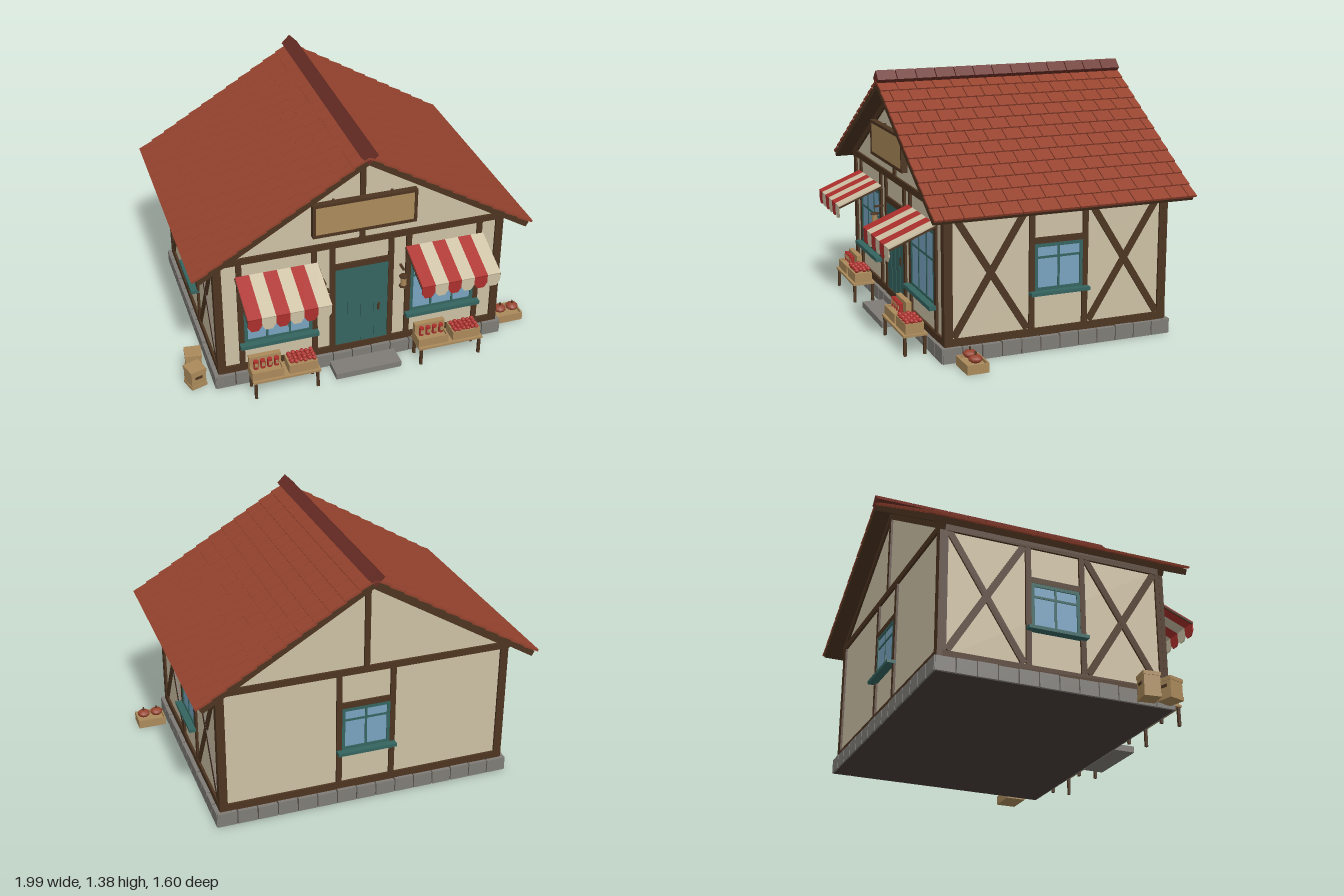
import * as THREE from 'three';
import { mergeGeometries } from 'three/addons/utils/BufferGeometryUtils.js';

const mat = (name, color) => Object.assign(new THREE.MeshStandardMaterial({ color }), { name });
const M = {
  plaster: mat('plaster', 0xcdc1a5), timber: mat('dark timber', 0x4d3521), tile: mat('roof tile', 0x95432e),
  ridge: mat('ridge tile', 0x692d25), teal: mat('teal paint', 0x356460), mortar: mat('dark mortar', 0x483f38),
  glass: mat('window glass', 0x78a3c0), stone: mat('stone', 0x7f7c77), wood: mat('light wood', 0xab8a5b),
  red: mat('awning red', 0xad302c),
};

function add(parent, name, geo, material, x = 0, y = 0, z = 0) {
  const m = new THREE.Mesh(geo, material);
  m.name = name;
  m.position.set(x, y, z);
  parent.add(m);
  return m;
}
const box = (p, name, material, w, h, d, x, y, z) => add(p, name, new THREE.BoxGeometry(w, h, d), material, x, y, z);
const shape = (pts) => new THREE.Shape(pts.map(([a, b]) => new THREE.Vector2(a, b)));
function group(parent, name, x = 0, y = 0, z = 0, ry = 0) {
  const g = new THREE.Group();
  g.name = name;
  g.position.set(x, y, z);
  g.rotation.y = ry;
  parent.add(g);
  return g;
}
// Timber lying on a wall between two points of the wall plane
function beam(p, name, x0, y0, x1, y1, w, d = 0.024) {
  const m = box(p, name, M.timber, Math.hypot(x1 - x0, y1 - y0), w, d, (x0 + x1) / 2, (y0 + y1) / 2, 0);
  m.rotation.z = Math.atan2(y1 - y0, x1 - x0);
  return m;
}

const ZC = -0.075, SLOPE = 0.6, ANGLE = Math.atan(SLOPE), APEX = 1.32;

function buildWindow(p, x, y0, w, h, panes, barY, sillH) {
  const g = group(p, 'window', x, y0, 0);
  box(g, 'glass', M.glass, w, h, 0.008, 0, h / 2, 0.001);
  for (const s of [-1, 1]) box(g, 'windowJamb', M.teal, 0.02, h, 0.022, s * (w / 2 - 0.01), h / 2, 0);
  for (const y of [0.01, h - 0.01]) box(g, 'windowRail', M.teal, w, 0.02, 0.022, 0, y, 0);
  for (let i = 1; i < panes; i++) box(g, 'mullion', M.teal, 0.012, h, 0.018, -w / 2 + (w * i) / panes, h / 2, 0);
  box(g, 'crossBar', M.teal, w, 0.012, 0.018, 0, barY - y0, 0);
  box(g, 'windowSill', M.teal, w + 0.055, sillH, 0.06, 0, -0.004, 0.018);
}

// Centred window with posts and rail, used on the back and sides
function windowBay(p) {
  for (const s of [-1, 1]) beam(p, 'post', s * 0.15, 0.1, s * 0.15, 0.78, 0.03);
  beam(p, 'windowHead', -0.15, 0.585, 0.15, 0.585, 0.032);
  buildWindow(p, 0, 0.315, 0.275, 0.255, 2, 0.495, 0.018);
}

function frame(p, half) {
  for (const s of [-1, 1]) beam(p, 'cornerPost', s * (half - 0.022), 0.08, s * (half - 0.022), 0.79, 0.044);
  beam(p, 'sillBeam', -half, 0.099, half, 0.099, 0.04, 0.026);
  beam(p, 'topPlate', -half, 0.782, half, 0.782, 0.036, 0.026);
}

function gable(p) {
  beam(p, 'kingPost', 0, 0.8, 0, 1.27, 0.03);
  for (const s of [-1, 1]) beam(p, 'rafter', 0, APEX - 0.052, s * 0.82, APEX - 0.052 - SLOPE * 0.82, 0.032, 0.028);
}

function buildRoof(house) {
  const len = 1.445, rows = 12, cols = 14, step = 1.081 / rows, tw = len / cols;
  for (const s of [1, -1]) {
    const side = group(house, 'roofSlope', 0, APEX, -0.0775, s > 0 ? 0 : Math.PI);
    const slope = group(side, 'slope');
    slope.rotation.z = -ANGLE;
    box(slope, 'roofBoard', M.timber, 1.067, 0.03, len - 0.01, 0.5335, -0.015, 0);
    const tiles = [];
    for (let r = 0; r < rows; r++) {
      for (let c = 0; c <= cols; c++) {
        const off = r % 2 ? 0.5 : 0;
        const a = Math.max(0, c - off) * tw, b = Math.min(cols, c + 1 - off) * tw;
        if (b - a < 0.01) continue;
        const t = new THREE.BoxGeometry(step + 0.006, 0.012, b - a - 0.005);
        t.rotateZ(0.085);
        t.translate((r + 0.5) * step, 0.008, (a + b) / 2 - len / 2);
        tiles.push(t);
      }
    }
    add(slope, 'roofTiles', mergeGeometries(tiles), M.tile);
  }
  // Diamond ridge caps
  for (let i = 0; i < 13; i++) {
    const cap = box(house, 'ridgeCap', M.ridge, 0.066, 0.066, len / 13 - 0.005, 0, 1.337, -0.0775 - len / 2 + (i + 0.5) * len / 13);
    cap.rotation.z = Math.PI / 4;
  }
}

function buildFoundation(house) {
  box(house, 'foundationCore', M.mortar, 1.646, 0.076, 1.276, 0, 0.038, ZC);
  const run = (n, length, place) => {
    for (let i = 0; i < n; i++) place(-length / 2 + (i + 0.5) * length / n, length / n - 0.006, 0.075 + 0.004 * ((i * 7) % 3) / 2);
  };
  for (const s of [-1, 1]) {
    run(15, 1.66, (u, w, h) => box(house, 'foundationStone', M.stone, w, h, 0.04, u, 0.002 + h / 2, ZC + s * 0.627));
    run(12, 1.29, (u, w, h) => box(house, 'foundationStone', M.stone, 0.04, h, w, s * 0.812, 0.002 + h / 2, ZC + u));
  }
  box(house, 'doorStep', M.stone, 0.376, 0.035, 0.12, 0, 0.0175, 0.632);
}

function buildAwning(p, x) {
  const g = group(p, 'awning', x, 0, 0);
  const w = 0.0742, L = 0.27;
  const scallop = shape([[-w / 2, 0], [-w / 2, -0.045], [-w / 4, -0.073], [w / 4, -0.073], [w / 2, -0.045], [w / 2, 0]]);
  const geo = new THREE.ExtrudeGeometry(scallop, { depth: 0.007, bevelEnabled: false });
  for (let i = 0; i < 6; i++) {
    const m = i % 2 ? M.plaster : M.red, u = (i - 2.5) * w;
    box(g, 'awningStripe', m, w, 0.01, L, u, 0.64, 0.675).rotation.x = 0.38;
    add(g, 'awningValance', geo, m, u, 0.592, 0.793);
  }
  for (const s of [-1, 1]) box(g, 'awningArm', M.timber, 0.008, 0.01, L, s * 0.222, 0.633, 0.672).rotation.x = 0.38;
}

function openCrate(p, x, y, z, w, h, d) {
  const g = group(p, 'crate', x, y, z);
  box(g, 'crateFloor', M.wood, w, h * 0.7, d, 0, h * 0.35, 0);
  for (const s of [-1, 1]) {
    box(g, 'crateSide', M.wood, w, h, 0.008, 0, h / 2, s * (d / 2 - 0.004));
    box(g, 'crateEnd', M.wood, 0.008, h, d, s * (w / 2 - 0.004), h / 2, 0);
  }
  return g;
}

function buildStall(p, x, lift) {
  const g = group(p, 'marketTable', x, 0, 0.653);
  box(g, 'tableTop', M.wood, 0.375, 0.012, 0.13, 0, 0.109, 0);
  for (const a of [-1, 1]) for (const b of [-1, 1]) box(g, 'tableLeg', M.timber, 0.015, 0.104, 0.015, a * 0.172, 0.052, b * 0.053);
  // Labelled jars on a crate with a tall back
  const jars = openCrate(g, -0.1, 0.115, 0, 0.175, 0.05, 0.1);
  box(jars, 'crateBack', M.wood, 0.175, 0.106, 0.03, 0, 0.053, -0.03);
  for (let i = 0; i < 4; i++) {
    const u = -0.057 + i * 0.038;
    add(jars, 'jar', new THREE.CylinderGeometry(0.014, 0.014, 0.05, 8), M.red, u, 0.073, 0.005);
    box(jars, 'jarLabel', M.wood, 0.015, 0.022, 0.004, u, 0.076, 0.019);
  }
  // Fruit crate
  const fruit = openCrate(g, 0.095, 0.115, 0, 0.16, 0.055, 0.1);
  for (let i = 0; i < 6; i++) for (let j = 0; j < 4; j++)
    add(fruit, 'apple', new THREE.SphereGeometry(0.013, 8, 6), M.red, -0.062 + i * 0.025, 0.058 + lift + 0.006 * ((i + j) % 2), -0.034 + j * 0.023);
}

function buildLantern(p, x) {
  const g = group(p, 'lantern', x, 0.509, 0.6);
  box(g, 'lanternBracket', M.timber, 0.012, 0.01, 0.055, 0, 0.071, -0.027);
  add(g, 'lanternBody', new THREE.CylinderGeometry(0.017, 0.017, 0.056, 6), M.wood);
  for (const y of [-0.03, 0.03]) add(g, 'lanternCap', new THREE.CylinderGeometry(0.024, 0.026, 0.009, 6), M.timber, 0, y, 0);
}

function buildDoor(p) {
  const g = group(p, 'door');
  box(g, 'doorLeaf', M.teal, 0.3, 0.505, 0.014, 0, 0.367, 0);
  for (const x of [-0.075, 0, 0.075]) box(g, 'plankStrip', M.teal, 0.007, 0.29, 0.006, x, 0.26, 0.007);
  box(g, 'doorHandle', M.timber, 0.012, 0.045, 0.01, 0.098, 0.335, 0.009);
  for (const s of [-1, 1]) beam(g, 'doorPost', s * 0.165, 0.1, s * 0.165, 0.78, 0.03);
  beam(g, 'doorLintel', -0.165, 0.637, 0.165, 0.637, 0.034);
}

function buildSign(p) {
  const g = group(p, 'signBoard', 0, 0.972, 0.04);
  box(g, 'signPanel', M.wood, 0.55, 0.18, 0.024, 0, 0, 0);
  for (const s of [-1, 1]) {
    box(g, 'signRail', M.timber, 0.57, 0.016, 0.034, 0, s * 0.09, 0);
    box(g, 'signStile', M.timber, 0.016, 0.195, 0.034, s * 0.277, 0, 0);
    box(g, 'signBracket', M.timber, 0.012, 0.2, 0.03, s * 0.16, -0.008, -0.025);
  }
}

function closedCrate(p, x, z, size, h, turn) {
  const g = group(p, 'storageCrate', x, 0, z, turn);
  box(g, 'crateBody', M.wood, size, h, size, 0, h / 2, 0);
  for (const s of [-1, 1]) {
    box(g, 'crateBand', M.wood, size + 0.006, 0.02, size + 0.006, 0, h / 2 + s * (h / 2 - 0.01), 0);
    box(g, 'crateSlot', M.timber, 0.042, 0.014, 0.006, 0, h * 0.6, s * (size / 2 + 0.001));
  }
}

export function createModel() {
  const model = new THREE.Group();
  model.name = 'marketHouse';
  const house = group(model, 'house', -0.01);

  // Plastered body with gables
  const top = APEX - 0.037, eave = top - SLOPE * 0.797;
  const outline = shape([[-0.797, 0.07], [0.797, 0.07], [0.797, eave], [0, top], [-0.797, eave]]);
  add(house, 'plasterWalls', new THREE.ExtrudeGeometry(outline, { depth: 1.23, bevelEnabled: false }), M.plaster, 0, 0, -0.69);
  buildFoundation(house);
  buildRoof(house);

  // Front wall
  const front = group(house, 'frontWall', 0, 0, 0.54);
  frame(front, 0.81);
  gable(front);
  buildDoor(front);
  buildSign(front);
  for (const s of [-1, 1]) {
    for (const x of [0.265, 0.672]) beam(front, 'post', s * x, 0.1, s * x, 0.78, 0.03);
    beam(front, 'windowHead', s * 0.265, 0.665, s * 0.672, 0.665, 0.03);
    buildWindow(front, s * 0.468, 0.255, 0.38, 0.395, 3, 0.49, 0.022);
    buildAwning(house, s * 0.47);
    buildStall(house, s * 0.47, s < 0 ? 0.01 : 0);
    buildLantern(house, s * 0.22);
  }

  // Back wall
  const back = group(house, 'backWall', 0, 0, -0.69, Math.PI);
  frame(back, 0.81);
  gable(back);
  windowBay(back);

  // Side walls with crossed braces
  for (const s of [-1, 1]) {
    const side = group(house, 'sideWall', s * 0.797, 0, ZC, s * Math.PI / 2);
    frame(side, 0.625);
    windowBay(side);
    for (const t of [-1, 1]) {
      beam(side, 'brace', t * 0.175, 0.125, t * 0.575, 0.765, 0.036, 0.018);
      beam(side, 'brace', t * 0.575, 0.125, t * 0.175, 0.765, 0.036, 0.02);
    }
  }

  // Goods standing beside the house
  closedCrate(model, -0.935, 0.485, 0.087, 0.115, 0.3);
  closedCrate(model, -0.92, 0.375, 0.087, 0.132, -0.12);
  const pumpkins = openCrate(model, 0.917, 0, 0.446, 0.16, 0.05, 0.118);
  for (const s of [-1, 1]) {
    add(pumpkins, 'pumpkin', new THREE.SphereGeometry(0.036, 10, 8), M.tile, s * 0.038, 0.066, 0).scale.y = 0.6;
    add(pumpkins, 'pumpkinStem', new THREE.CylinderGeometry(0.004, 0.006, 0.02, 6), M.timber, s * 0.038, 0.094, 0);
  }
  return model;
}
